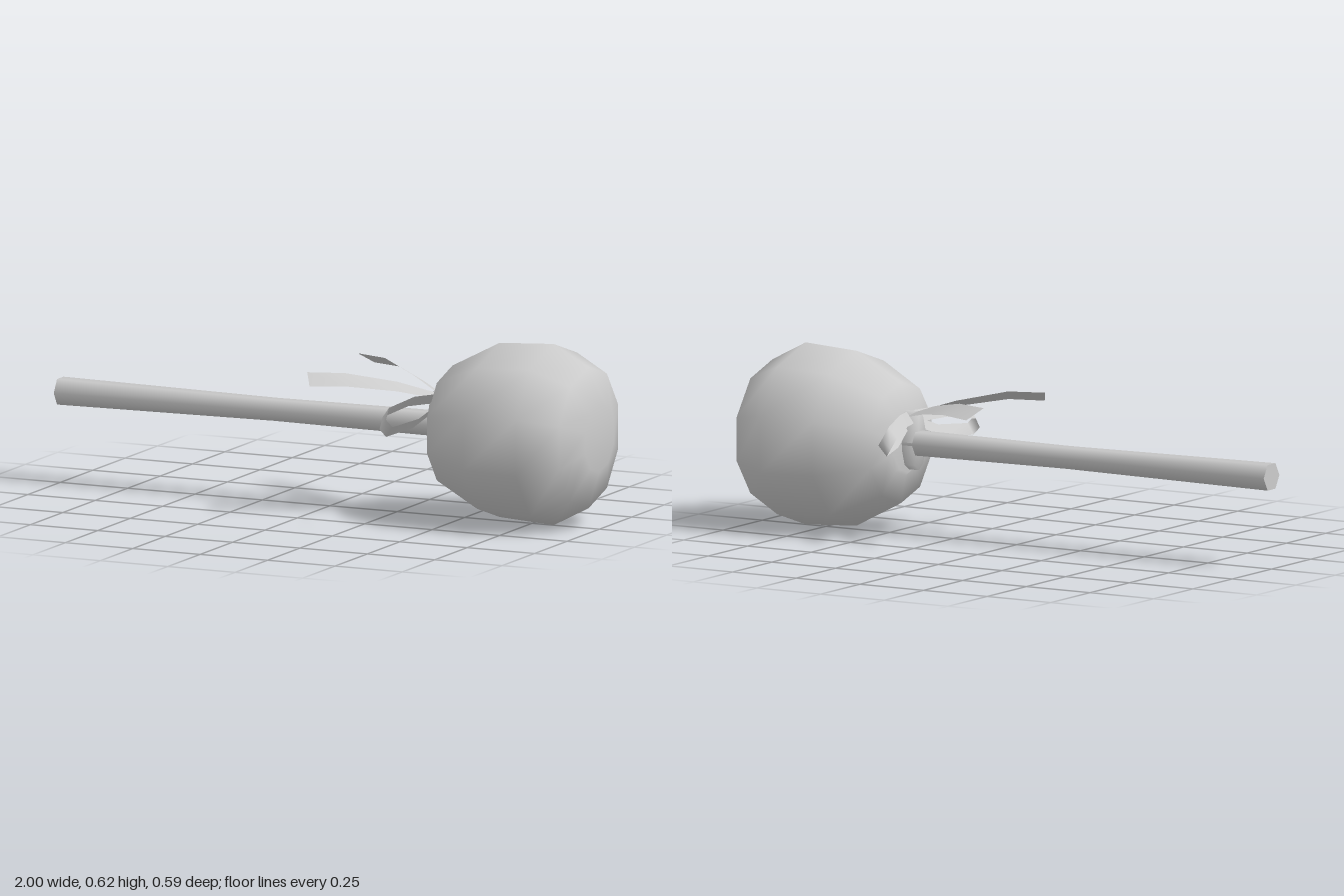
import * as THREE from 'three';

// Thin strip through pairs of edge points [a, b]
function ribbon(pairs, material, name) {
  const pos = [], idx = [];
  pairs.forEach(([a, b], i) => {
    pos.push(...a, ...b);
    if (i) {
      const k = i * 2;
      idx.push(k - 2, k - 1, k, k - 1, k + 1, k);
    }
  });
  const g = new THREE.BufferGeometry();
  g.setAttribute('position', new THREE.Float32BufferAttribute(pos, 3));
  g.setIndex(idx);
  g.computeVertexNormals();
  const m = new THREE.Mesh(g, material);
  m.name = name;
  return m;
}

export function createModel() {
  const group = new THREE.Group();
  const grey = new THREE.MeshStandardMaterial({ color: 0xcccccc });
  grey.name = 'grey';
  const ribbonGrey = grey.clone();
  ribbonGrey.name = 'ribbon grey';
  ribbonGrey.side = THREE.DoubleSide;

  // Turned part lying along x, profile as [x, radius]
  function turned(profile, sides, phi, y, name) {
    const g = new THREE.LatheGeometry(profile.map(([x, r]) => new THREE.Vector2(r, x)), sides, phi);
    g.rotateZ(-Math.PI / 2);
    const m = new THREE.Mesh(g, grey);
    m.position.y = y;
    m.name = name;
    group.add(m);
    return m;
  }

  // Ten-sided rounded head with a flat striking face
  turned([[0.425, 0], [0.425, 0.1], [0.438, 0.11], [0.455, 0.205], [0.63, 0.296], [0.83, 0.308],
    [0.96, 0.24], [1, 0.115], [1, 0]], 10, Math.PI / 2, 0.308, 'head');

  // Six-sided handle, slightly waisted, with a flat end
  turned([[-1, 0.05], [-0.2, 0.041], [0.44, 0.046]], 6, 0, 0.312, 'handle');
  const end = new THREE.Mesh(new THREE.CircleGeometry(0.05, 6), grey);
  end.rotation.y = -Math.PI / 2;
  end.position.set(-1, 0.312, 0);
  end.name = 'handleEnd';
  group.add(end);

  // Tall narrow knot where the ribbon is tied
  const knot = turned([[0.385, 0], [0.385, 0.1], [0.435, 0.1]], 10, Math.PI / 2, 0.32, 'knot');
  knot.scale.z = 0.45;

  // Bow: one tail and one loop on each side
  for (const s of [1, -1]) {
    const tail = [
      [[0.4, 0.415, 0.0], [0.42, 0.4, 0.025]],
      [[0.28, 0.455, 0.065], [0.3, 0.43, 0.105]],
      [[0.13, 0.487, 0.155], [0.16, 0.452, 0.205]],
      [[0.01, 0.487, 0.195], [0.045, 0.45, 0.25]],
    ];
    const loopPath = [[0.405, 0.4, 0.02], [0.365, 0.405, 0.13], [0.33, 0.385, 0.255],
      [0.335, 0.35, 0.288], [0.355, 0.325, 0.28], [0.39, 0.335, 0.15], [0.425, 0.385, 0.02]];
    const loop = loopPath.map(([x, y, z]) => [[x - 0.014, y - 0.018, z - 0.004], [x + 0.014, y + 0.018, z + 0.004]]);
    const mirror = pairs => pairs.map(p => p.map(([x, y, z]) => [x, y, z * s]));
    const side = s > 0 ? 'front' : 'back';
    group.add(ribbon(mirror(tail), ribbonGrey, side + 'RibbonTail'));
    group.add(ribbon(mirror(loop), ribbonGrey, side + 'RibbonLoop'));
  }
  return group;
}
